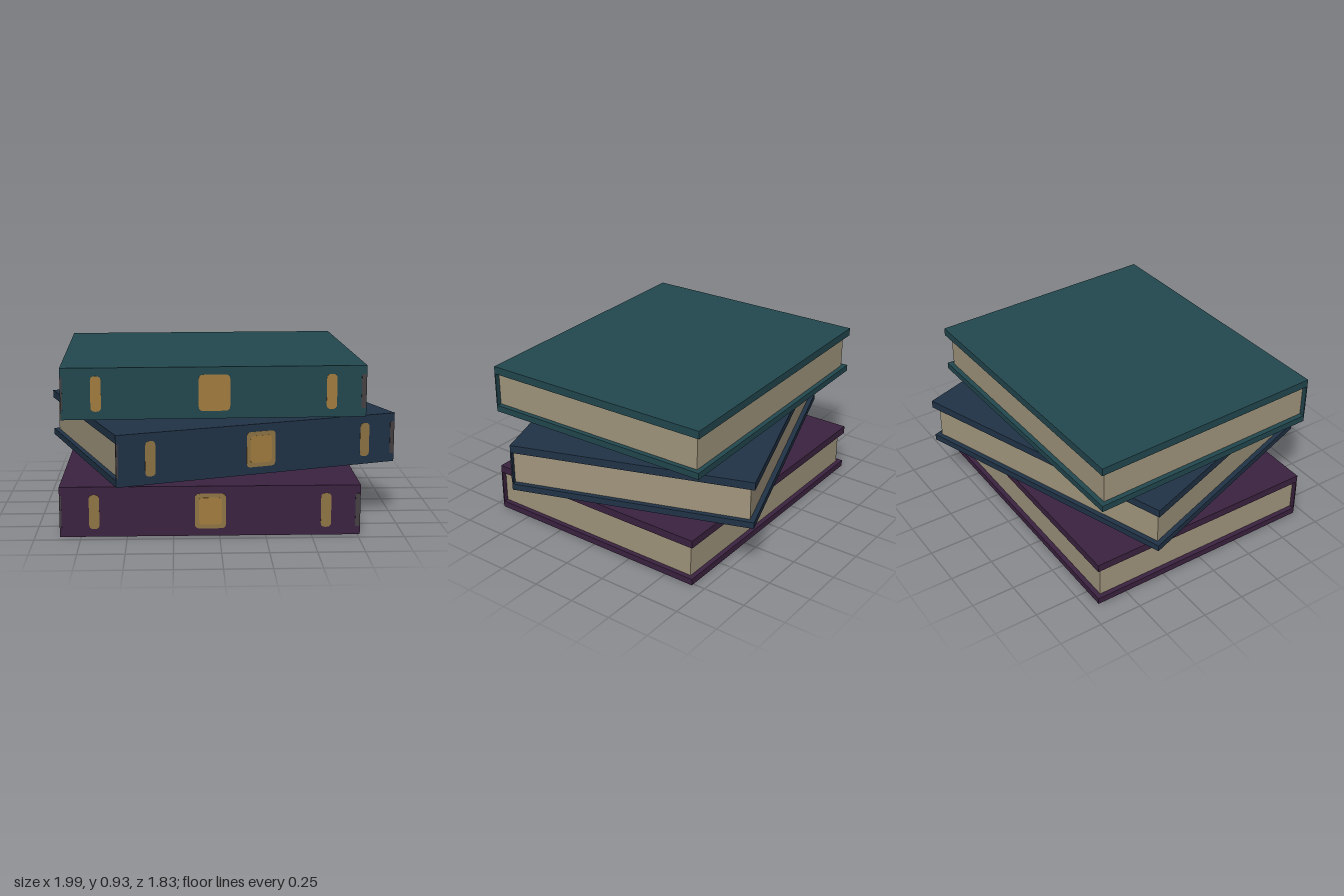
import * as THREE from 'three';

const WIDTH = 1.63, DEPTH = 1.375, HEIGHT = 0.278;
const LOWER = 0.037, UPPER = 0.045, SPINE = 0.006, INSET = 0.028;

const material = (name, color) => {
  const m = new THREE.MeshStandardMaterial({ color });
  m.name = name;
  return m;
};

function box(name, mat, size, pos) {
  const mesh = new THREE.Mesh(new THREE.BoxGeometry(...size), mat);
  mesh.name = name;
  mesh.position.set(...pos);
  return mesh;
}

// Thin plate with rounded corners, facing +z
function plate(name, mat, w, h, r, x, z) {
  const s = new THREE.Shape();
  const a = w / 2, b = h / 2;
  s.moveTo(-a + r, -b);
  s.lineTo(a - r, -b).quadraticCurveTo(a, -b, a, -b + r);
  s.lineTo(a, b - r).quadraticCurveTo(a, b, a - r, b);
  s.lineTo(-a + r, b).quadraticCurveTo(-a, b, -a, b - r);
  s.lineTo(-a, -b + r).quadraticCurveTo(-a, -b, -a + r, -b);
  const geo = new THREE.ExtrudeGeometry(s, { depth: 0.002, bevelEnabled: false, curveSegments: 4 });
  const mesh = new THREE.Mesh(geo, mat);
  mesh.name = name;
  mesh.position.set(x, HEIGHT / 2, z);
  return mesh;
}

function makeBook(name, mats) {
  const { cover, pages, gilt, inner, worn } = mats;
  const book = new THREE.Group();
  book.name = name;
  const front = DEPTH / 2;

  // Boards and spine
  book.add(box('lowerCover', cover, [WIDTH, LOWER, DEPTH], [0, LOWER / 2, 0]));
  book.add(box('upperCover', cover, [WIDTH, UPPER, DEPTH], [0, HEIGHT - UPPER / 2, 0]));
  const gap = HEIGHT - LOWER - UPPER, midY = LOWER + gap / 2;
  book.add(box('spine', cover, [WIDTH, gap, SPINE], [0, midY, front - SPINE / 2]));

  // Page block, set back on three sides
  const pageDepth = DEPTH - INSET - SPINE;
  book.add(box('pages', pages, [WIDTH - 2 * INSET, gap, pageDepth],
    [0, midY, front - SPINE - pageDepth / 2]));

  // Gilt panel and bands on the spine
  book.add(plate('spinePanel', gilt, 0.168, 0.195, 0.025, 0, front));
  book.add(plate('spinePanelCentre', inner, 0.125, 0.15, 0.02, 0, front + 0.001));
  for (const side of [-1, 1]) {
    book.add(plate('spineBand', gilt, 0.056, 0.19, 0.024, side * 0.628, front));
  }

  // Faded strips at the spine ends
  book.add(plate('wornEdge', worn, 0.026, 0.185, 0.008, WIDTH / 2 - 0.014, front));
  book.add(plate('wornEdge', worn, 0.01, 0.185, 0.004, -WIDTH / 2 + 0.006, front));
  return book;
}

export function createModel() {
  const pages = material('paper', 0xa1967e);
  const gold = material('gold', 0xa17c3f);
  const oldGold = material('antique gold', 0x8e7445);
  const worn = material('worn edge', 0x453f42);

  const books = [
    { name: 'bottomBook', cover: material('plum', 0x3b2240), gilt: oldGold, x: -0.05, y: 0, z: 0.01, turn: 0 },
    { name: 'middleBook', cover: material('navy', 0x213347), gilt: oldGold, x: 0, y: 0.332, z: 0, turn: 0.334 },
    { name: 'topBook', cover: material('teal', 0x22474f), gilt: gold, x: -0.047, y: 0.65, z: 0.007, turn: 0.0276 },
  ];

  const stack = new THREE.Group();
  stack.name = 'bookStack';
  for (const { name, cover, gilt, x, y, z, turn } of books) {
    const book = makeBook(name, { cover, pages, gilt, inner: gold, worn });
    book.position.set(x, y, z);
    book.rotation.y = turn;
    stack.add(book);
  }
  return stack;
}
